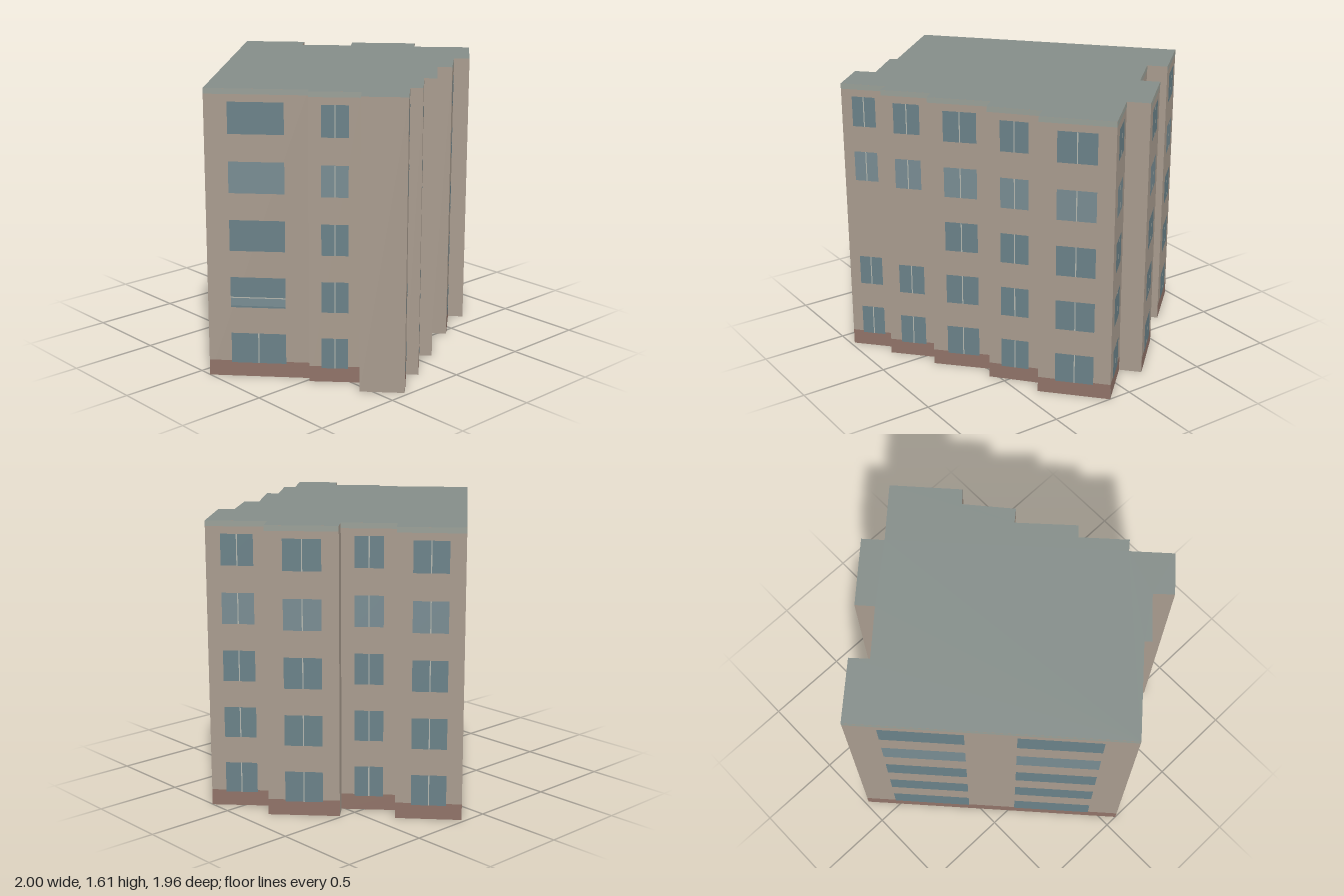
import * as THREE from 'three';

const HEIGHT = 1.61;
const material = (color, side = THREE.FrontSide) => new THREE.MeshStandardMaterial({ color, side });
const wallMat = material(0xa89b8e, THREE.DoubleSide);
const roofMat = material(0x848d89, THREE.DoubleSide);
const edgeMat = material(0x999f97);
const brickMat = material(0x907368);
const glassMat = material(0x6a8188);
const paleGlassMat = material(0x788c92);
const frameMat = material(0xb3b6ae);

// Stepped footprint as [x, z], clockwise seen from above
const FOOTPRINT = [
  [0.15, -0.98], [0.395, -0.71], [0.31, -0.63], [0.515, -0.41],
  [0.597, -0.485], [0.865, -0.197], [0.77, -0.11], [1.0, 0.135],
  [0.70, 0.41], [0.637, 0.345], [0.41, 0.54], [0.355, 0.475],
  [0.10, 0.717], [0.05, 0.665], [-0.155, 0.857], [-0.20, 0.805],
  [-0.385, 0.978], [-0.55, 0.80], [-0.465, 0.715], [-0.655, 0.515],
  [-0.625, 0.485], [-1.0, 0.075],
];

// Storeys from the top down: [bottom, top] of each window row
const ROWS = [0, 1, 2, 3, 4].map((i) => [1.367 - i * 0.322, 1.54 - i * 0.322]);

// Windowed facades, keyed by starting corner; skip lists rows without a window
const FACADES = {
  0: { name: 'rightBayBack' },
  2: { name: 'rightRecessBack' },
  4: { name: 'rightBayMiddle' },
  6: { name: 'rightRecessFront' },
  7: { name: 'frontBay1' },
  9: { name: 'frontBay2' },
  11: { name: 'frontBay3' },
  13: { name: 'frontBay4', skip: [2] },
  15: { name: 'frontBay5', skip: [2] },
  18: { name: 'leftRecess' },
  20: { name: 'leftWall', spans: [[0.235, 0.775]], split: [4], parapetRow: 3 },
  21: { name: 'backWall', spans: [[0.115, 0.41], [0.59, 0.885]], split: [] },
};

function makeSide(start) {
  const [ax, az] = FOOTPRINT[start];
  const [bx, bz] = FOOTPRINT[(start + 1) % FOOTPRINT.length];
  const length = Math.hypot(bx - ax, bz - az);
  const side = new THREE.Group();
  side.name = 'stepReturn';
  // Local +z points out of the wall, local +x runs from the end corner to the start
  side.position.set((ax + bx) / 2, 0, (az + bz) / 2);
  side.rotation.y = Math.atan2(bz - az, -(bx - ax));

  const panel = (label, u0, u1, y0, y1, mat, offset) => {
    const mesh = new THREE.Mesh(new THREE.PlaneGeometry((u1 - u0) * length, y1 - y0), mat);
    mesh.name = label;
    mesh.position.set((0.5 - (u0 + u1) / 2) * length, (y0 + y1) / 2, offset);
    side.add(mesh);
  };

  panel('wall', 0, 1, 0, HEIGHT, wallMat, 0);
  if (!FACADES[start]) return side;

  const { name, spans = [[0.235, 0.76]], skip = [], split = [0, 1, 2, 3, 4], parapetRow } = FACADES[start];
  side.name = name;
  panel('brickPlinth', 0, 1, 0, 0.09, brickMat, 0.001);
  panel('roofEdge', 0, 1, 1.58, HEIGHT, edgeMat, 0.001);

  ROWS.forEach(([y0, y1], row) => {
    if (skip.includes(row)) return;
    for (const [u0, u1] of spans) {
      panel('window', u0, u1, y0, y1, row === 1 ? paleGlassMat : glassMat, 0.002);
      if (split.includes(row)) {
        const mid = (u0 + u1) / 2;
        const half = 0.003 / length;
        panel('mullion', mid - half, mid + half, y0, y1, frameMat, 0.003);
      }
      // Low parapet panel with a pale rail
      if (row === parapetRow) {
        panel('parapet', u0, u1, y0 + 0.01, y0 + 0.055, paleGlassMat, 0.003);
        panel('rail', u0, u1, y0 + 0.055, y0 + 0.061, frameMat, 0.004);
      }
    }
  });
  return side;
}

export function createModel() {
  const model = new THREE.Group();
  model.name = 'apartmentBlock';

  // Flat roof over an open-bottomed shell
  const outline = new THREE.Shape(FOOTPRINT.map(([x, z]) => new THREE.Vector2(x, -z)));
  const roof = new THREE.Mesh(new THREE.ShapeGeometry(outline).rotateX(-Math.PI / 2), roofMat);
  roof.name = 'roof';
  roof.position.y = HEIGHT;
  model.add(roof);

  // Walls with their plinths, roof edges and windows
  FOOTPRINT.forEach((_, start) => model.add(makeSide(start)));
  return model;
}
